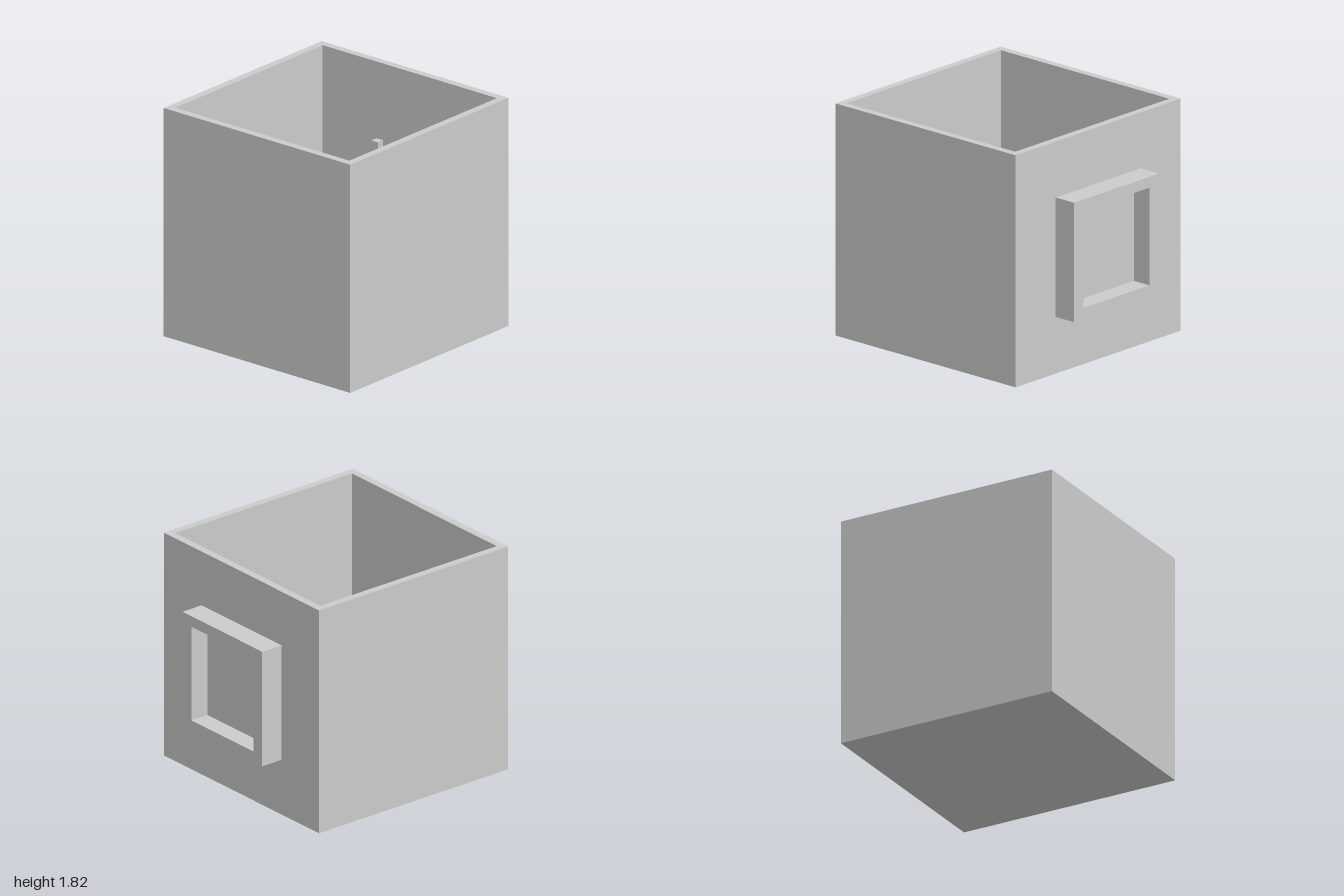
import * as THREE from 'three';

const material = new THREE.MeshStandardMaterial({ color: 0xcccccc, flatShading: true });

// Box given by its minimum and maximum corners
function block(name, [x0, y0, z0], [x1, y1, z1]) {
  const mesh = new THREE.Mesh(new THREE.BoxGeometry(x1 - x0, y1 - y0, z1 - z0), material);
  mesh.name = name;
  mesh.position.set((x0 + x1) / 2, (y0 + y1) / 2, (z0 + z1) / 2);
  return mesh;
}

// Rectangular ring, w x h outside with a hole iw x ih, extruded along z by depth
function ring(w, h, iw, ih, depth) {
  const corners = (a, b) => [[-a, -b], [a, -b], [a, b], [-a, b]].map(([x, y]) => new THREE.Vector2(x / 2, y / 2));
  const shape = new THREE.Shape(corners(w, h));
  shape.holes.push(new THREE.Path(corners(iw, ih).reverse()));
  return new THREE.ExtrudeGeometry(shape, { depth, bevelEnabled: false });
}

export function createModel() {
  const model = new THREE.Group();
  const size = 1.816, half = size / 2, wall = 0.06;
  const left = -1, right = left + size, middle = half;

  // Open-topped box: four walls in one ring above a floor slab
  const walls = new THREE.Mesh(
    ring(size, size, size - 2 * wall, size - 2 * wall, size - wall).rotateX(-Math.PI / 2), material);
  walls.name = 'walls';
  walls.position.set(left + half, wall, 0);
  model.add(walls, block('floor', [left, 0, -half], [right, wall, half]));

  // Window frame standing out from the side wall
  const frame = new THREE.Mesh(ring(0.934, 0.934, 0.726, 0.764, 1 - right).rotateY(Math.PI / 2), material);
  frame.name = 'windowFrame';
  frame.position.set(right, middle + 0.003, 0);
  model.add(frame);

  // Recessed panel at the back of the frame
  model.add(block('windowPanel', [right, 0.53, -0.363], [right + 0.03, 1.293, 0.363]));

  // Small square pegs on the inside of the wall, behind the window
  const pegs = new THREE.Group();
  pegs.name = 'mountingPegs';
  const inner = right - wall, r = 0.031;
  for (const z of [-0.292, 0.292]) {
    for (const y of [middle - 0.267, middle + 0.267]) {
      pegs.add(block('peg', [inner - 0.06, y - r, z - r], [inner, y + r, z + r]));
    }
  }
  model.add(pegs);
  return model;
}
